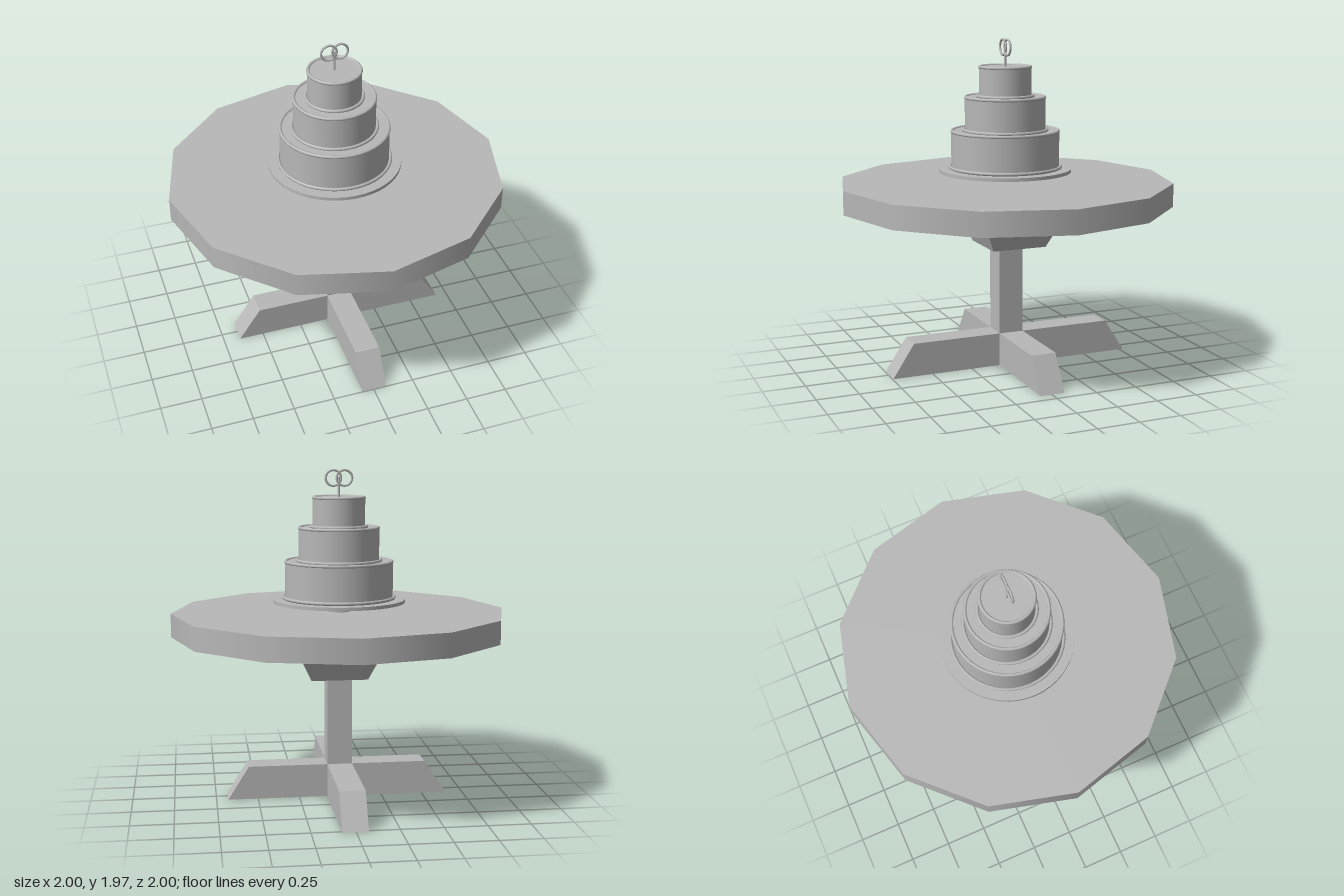
import * as THREE from 'three';

export function createModel() {
  const model = new THREE.Group();
  const grey = new THREE.MeshStandardMaterial({ color: 0xb8b8b8 });
  grey.name = 'grey';

  const add = (name, geometry, x = 0, y = 0, z = 0, parent = model) => {
    const mesh = new THREE.Mesh(geometry, grey);
    mesh.name = name;
    mesh.position.set(x, y, z);
    parent.add(mesh);
    return mesh;
  };
  const disc = (r, y0, y1, sides) =>
    new THREE.CylinderGeometry(r, r, y1 - y0, sides).translate(0, (y0 + y1) / 2, 0);
  const bead = (r, tube, y) =>
    new THREE.TorusGeometry(r, tube, 8, 40).rotateX(Math.PI / 2).translate(0, y, 0);

  // Crossed feet: beams with sloping ends
  const beam = (b0, b1, t0, t1) => {
    const shape = new THREE.Shape([[b0, 0], [b1, 0], [t1, 0.2], [t0, 0.2]].map(p => new THREE.Vector2(...p)));
    return new THREE.ExtrudeGeometry(shape, { depth: 0.15, bevelEnabled: false }).translate(0, 0, -0.075);
  };
  add('footBeamAcross', beam(-0.65, 0.68, -0.515, 0.555), 0, 0, -0.005);
  add('footBeamLengthwise', beam(-0.745, 0.775, -0.615, 0.645).rotateY(Math.PI / 2), 0.005, 0, 0);

  // Square post and the tapered block under the top
  add('post', new THREE.BoxGeometry(0.15, 0.56, 0.15), 0.005, 0.47, -0.005);
  const block = new THREE.CylinderGeometry(0.28 * Math.SQRT2, 0.168 * Math.SQRT2, 0.25, 4).rotateY(Math.PI / 4);
  add('supportBlock', block.toNonIndexed(), 0.017, 0.862, -0.016).geometry.computeVertexNormals();

  // Twelve-sided table top
  add('tableTop', disc(1, 0.985, 1.125, 12));

  // Cake stand
  const cake = new THREE.Group();
  cake.name = 'cake';
  model.add(cake);
  add('standStem', disc(0.072, 1.12, 1.185, 24), 0, 0, 0, cake);
  add('standPlate', disc(0.395, 1.18, 1.2, 48), 0, 0, 0, cake);

  // Three tiers, each with a bead round the foot and the rim
  const tiers = [
    ['bottomTier', 0.322, 1.2, 1.425],
    ['middleTier', 0.24, 1.42, 1.625],
    ['topTier', 0.156, 1.62, 1.803],
  ];
  for (const [name, r, y0, y1] of tiers) {
    add(name, disc(r, y0, y1, 40), 0, 0, 0, cake);
    add(name + 'FootBead', bead(r + 0.009, 0.01, y0 + 0.011), 0, 0, 0, cake);
    add(name + 'RimBead', bead(r - 0.006, 0.01, y1 - 0.002), 0, 0, 0, cake);
  }

  // Topper: two linked rings on a pin
  add('topperPin', disc(0.007, 1.79, 1.92, 10), 0, 0, 0, cake);
  for (const side of [-1, 1])
    add('topperRing', new THREE.TorusGeometry(0.046, 0.007, 8, 28), side * 0.033, 1.916, 0, cake);

  return model;
}
